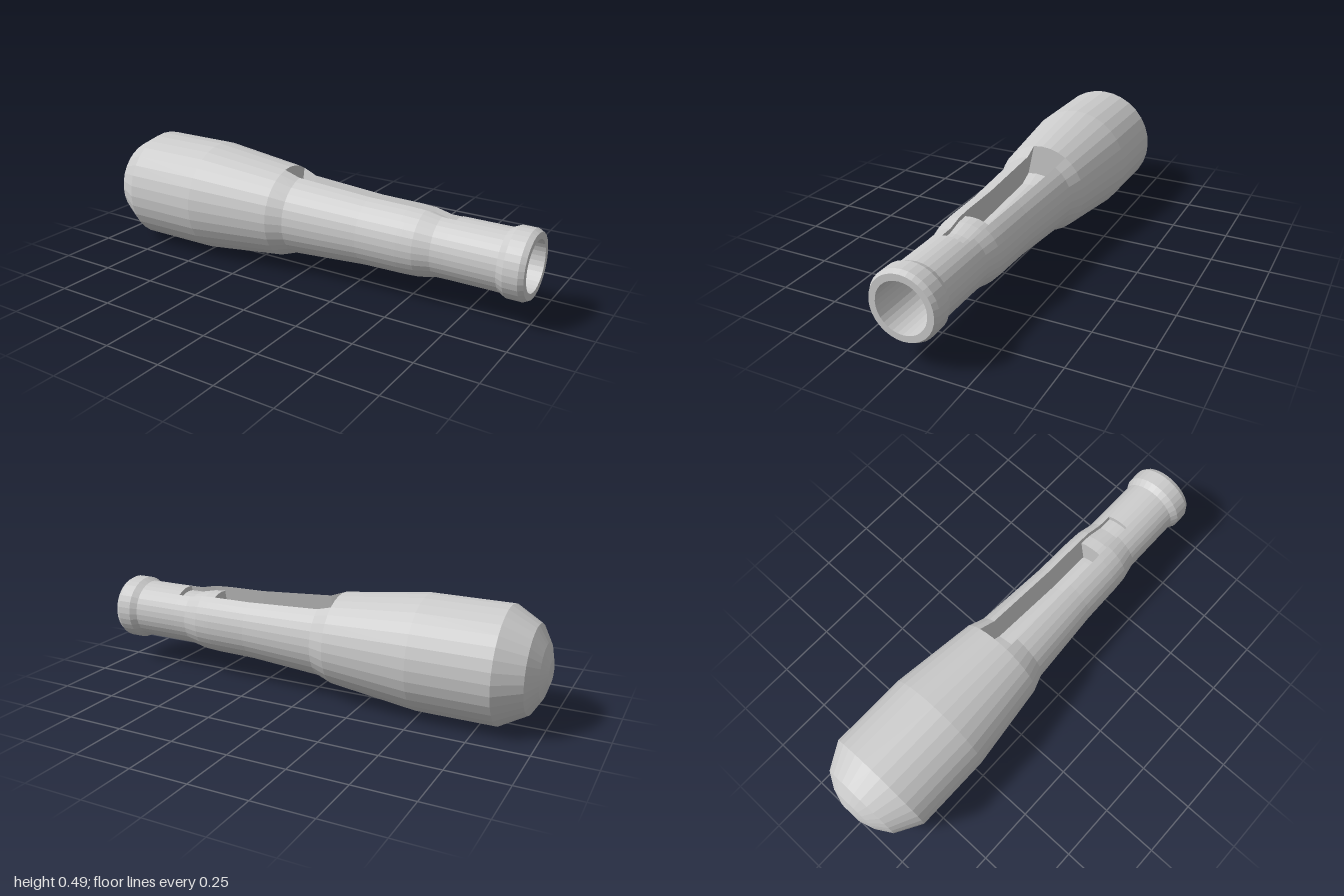
import * as THREE from 'three';

const SIDES = 32, STEP = (2 * Math.PI) / SIDES;
const AXIS_Y = 0.245;
const SLOT_A = -1, SLOT_B = 3;                        // slot edges, in side steps from the top
const TILT = ((SLOT_A + SLOT_B) / 2) * STEP;          // direction the slot is sunk along
const DEPTH = 0.135, LEDGE = 0.022;
const SLOT_START = -0.11, LEDGE_START = 0.5, SLOT_END = 0.68, BORE_END = 0.55;

// outer outline: [x, radius]
const OUTLINE = [
  [-1, 0.05], [-0.98, 0.115], [-0.94, 0.182], [-0.83, 0.245], [-0.49, 0.245], [-0.11, 0.2],
  [-0.04, 0.175], [0.3, 0.152], [0.48, 0.149], [0.5, 0.148], [0.55, 0.145], [0.62, 0.13],
  [0.68, 0.129], [0.89, 0.129], [0.92, 0.144], [0.98, 0.144], [1, 0.133],
];
const between = (a, b) => OUTLINE.filter(([x]) => x >= a && x <= b);

// point on a ring, optionally pushed into the slot by d
const point = (x, r, k, d = 0) => [
  x,
  AXIS_Y + r * Math.cos(k * STEP) - d * Math.cos(TILT),
  -r * Math.sin(k * STEP) + d * Math.sin(TILT),
];

// row of points from side a to side b
function row([x, r], a = 0, b = SIDES, d = 0) {
  const pts = [];
  for (let k = a; k <= b; k++) pts.push(point(x, r, k, d));
  return pts;
}

// surface through rows with equal numbers of points
function loft(rows) {
  const n = rows[0].length, index = [];
  for (let i = 0; i < rows.length - 1; i++) {
    for (let j = 0; j < n - 1; j++) {
      const a = i * n + j, b = a + n;
      index.push(a, a + 1, b, a + 1, b + 1, b);
    }
  }
  const geo = new THREE.BufferGeometry();
  geo.setAttribute('position', new THREE.Float32BufferAttribute(rows.flat(2), 3));
  geo.setIndex(index);
  const flat = geo.toNonIndexed();
  flat.computeVertexNormals();
  return flat;
}

export function createModel() {
  const group = new THREE.Group();
  const material = new THREE.MeshStandardMaterial({
    color: 0xcccccc, flatShading: true, side: THREE.DoubleSide,
  });
  const add = (name, rows) => {
    const mesh = new THREE.Mesh(loft(rows), material);
    mesh.name = name;
    group.add(mesh);
  };
  const ring = (p) => row(p);
  const open = (p) => row(p, SLOT_B, SIDES + SLOT_A);          // everything but the slot
  const arc = (p, d) => row(p, SLOT_A, SLOT_B, d);             // only the slot
  const at = (x) => OUTLINE.find((p) => p[0] === x);

  // outer skin
  add('grip', [ring([-1, 0]), ...between(-1, SLOT_START).map(ring)]);
  add('slottedBody', between(SLOT_START, SLOT_END).map(open));
  add('neckAndRim', [...between(SLOT_END, 1).map(ring), ring([1, 0.106])]);

  // bore, notched where the slot box hangs into it
  add('bore', [ring([1, 0.106]), ring([SLOT_END, 0.106])]);
  add('boreInner', [open([SLOT_END, 0.106]), open([BORE_END, 0.106])]);
  add('boreFloor', [ring([BORE_END, 0.106]), ring([BORE_END, 0])]);

  // sunken slot: floor, two side walls, two end walls
  const run = between(SLOT_START, SLOT_END);
  add('slotFloor', run.map((p) => arc(p, DEPTH)));
  for (const k of [SLOT_A, SLOT_B]) {
    add('slotSide', run.map(([x, r]) => [point(x, r, k), point(x, r, k, DEPTH)]));
  }
  for (const x of [SLOT_START, SLOT_END]) add('slotEnd', [arc(at(x), 0), arc(at(x), DEPTH)]);

  // plug filling the narrow end of the slot to just below the surface
  add('plugTop', between(LEDGE_START, SLOT_END).map((p) => arc(p, LEDGE)));
  add('plugFace', [arc(at(LEDGE_START), LEDGE), arc(at(LEDGE_START), DEPTH)]);

  return group;
}
